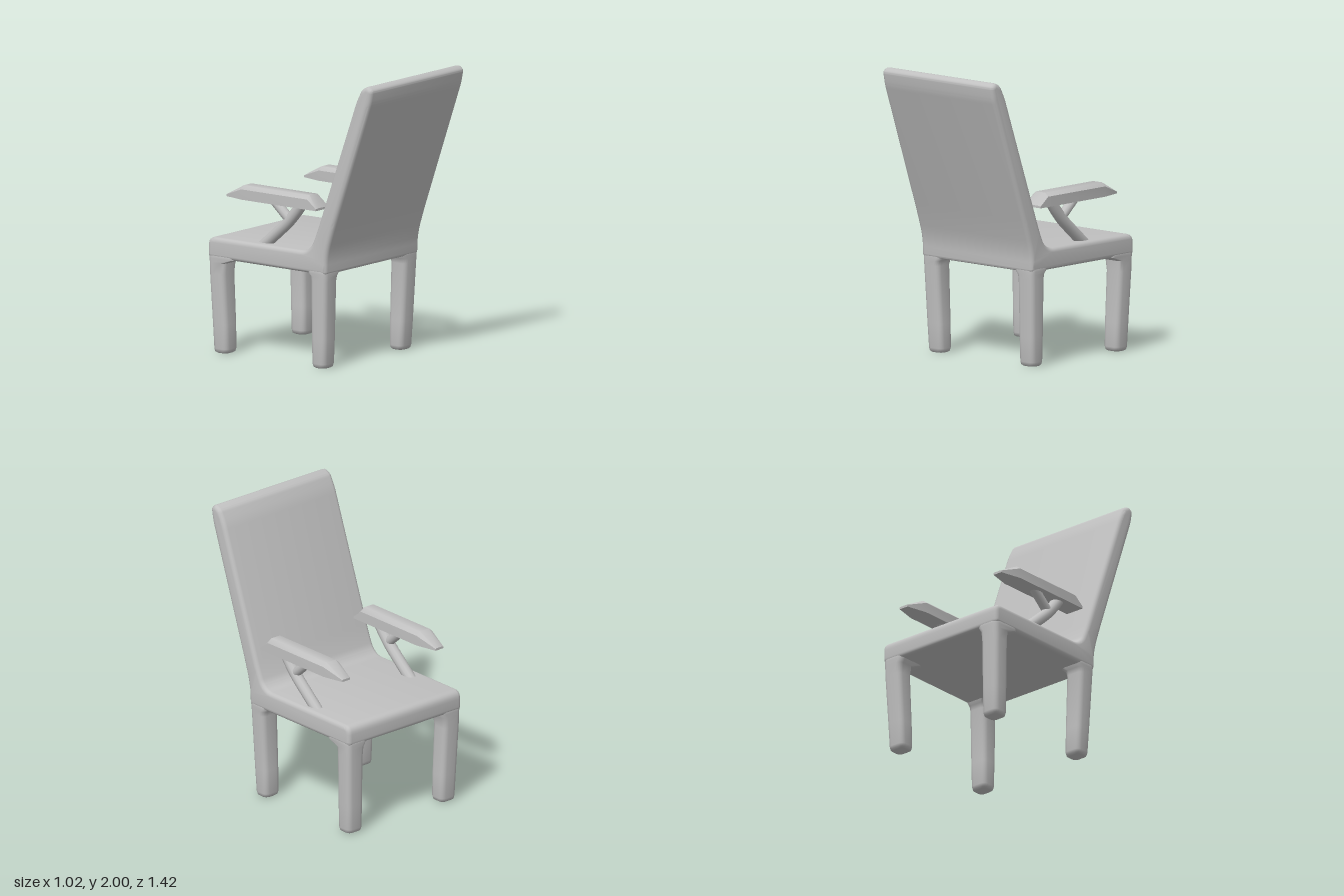
import * as THREE from 'three';
import { toCreasedNormals } from 'three/addons/utils/BufferGeometryUtils.js';

const V3 = (x, y, z) => new THREE.Vector3(x, y, z);

// Skin closed cross-sections (equal-length arrays of Vector3) and cap both ends
function loft(rings, crease) {
  const pos = [], index = [], n = rings[0].length;
  rings.forEach((r) => r.forEach((p) => pos.push(p.x, p.y, p.z)));
  for (let j = 0; j < rings.length - 1; j++) {
    for (let i = 0; i < n; i++) {
      const a = j * n + i, b = j * n + (i + 1) % n;
      index.push(a, a + n, b, b, a + n, b + n);
    }
  }
  const last = (rings.length - 1) * n;
  for (let i = 1; i < n - 1; i++) {
    index.push(0, i, i + 1, last, last + i + 1, last + i);
  }
  const g = new THREE.BufferGeometry();
  g.setAttribute('position', new THREE.Float32BufferAttribute(pos, 3));
  g.setIndex(index);
  return toCreasedNormals(g, crease);
}

// Horizontal rounded rectangle, running so that rising rings face outward
function roundedRing(x0, x1, z0, z1, y, r) {
  const ring = [];
  const corners = [[x1 - r, z1 - r], [x0 + r, z1 - r], [x0 + r, z0 + r], [x1 - r, z0 + r]];
  corners.forEach(([cx, cz], k) => {
    for (let i = 0; i <= 4; i++) {
      const a = (k + i / 4) * Math.PI / 2;
      ring.push(V3(cx + r * Math.cos(a), y, cz + r * Math.sin(a)));
    }
  });
  return ring;
}

// Closed outline with every corner softened: points are [z, y, radius]
function softShape(points) {
  const shape = new THREE.Shape();
  points.forEach(([x, y, r], i) => {
    const p = new THREE.Vector2(x, y);
    const toward = (q) => {
      const d = new THREE.Vector2(q[0], q[1]).sub(p);
      return p.clone().addScaledVector(d, Math.min(r / d.length(), 0.48));
    };
    const a = toward(points[(i + points.length - 1) % points.length]);
    const b = toward(points[(i + 1) % points.length]);
    if (i === 0) shape.moveTo(a.x, a.y); else shape.lineTo(a.x, a.y);
    shape.quadraticCurveTo(x, y, b.x, b.y);
  });
  shape.closePath();
  return shape;
}

export function createModel() {
  const model = new THREE.Group();
  model.name = 'armchair';
  const grey = new THREE.MeshStandardMaterial({ color: 0xc0c0c0 });
  grey.name = 'grey';
  const add = (parent, name, geometry) => {
    const mesh = new THREE.Mesh(geometry, grey);
    mesh.name = name;
    parent.add(mesh);
  };

  // Seat and reclined back as one continuous side profile
  const profile = softShape([
    [-0.707, 0.8, 0.06], [-0.707, 0.654, 0.03], [0.315, 0.654, 0.02], [0.32, 0.79, 0.1],
    [0.37, 0.95, 0.08], [0.698, 1.88, 0.03], [0.716, 1.975, 0.02], [0.675, 2.003, 0.02],
    [0.622, 1.977, 0.02], [0.575, 1.89, 0.04], [0.23, 0.94, 0.06], [0.188, 0.845, 0.03],
    [0.135, 0.802, 0.04],
  ]);
  const bevel = 0.03, width = 1.018;
  const shell = new THREE.ExtrudeGeometry(profile, {
    depth: width - 2 * bevel, curveSegments: 6,
    bevelEnabled: true, bevelThickness: bevel, bevelSize: bevel, bevelOffset: -bevel, bevelSegments: 4,
  });
  shell.translate(0, 0, -(width / 2 - bevel));
  shell.rotateY(-Math.PI / 2);
  add(model, 'seatAndBack', toCreasedNormals(shell, 0.7));

  // Tapered legs, flaring into the seat: rows are [y, xIn, xOut, zFront, zBack, radius]
  const rearLeg = [
    [0, 0.37, 0.47, 0.185, 0.27, 0.03], [0.008, 0.358, 0.481, 0.174, 0.281, 0.035],
    [0.03, 0.353, 0.485, 0.168, 0.286, 0.035], [0.2, 0.355, 0.491, 0.169, 0.295, 0.035],
    [0.6, 0.362, 0.505, 0.176, 0.312, 0.035], [0.635, 0.355, 0.506, 0.17, 0.314, 0.035],
    [0.656, 0.335, 0.507, 0.15, 0.314, 0.035], [0.685, 0.335, 0.507, 0.15, 0.314, 0.035],
    [0.72, 0.345, 0.49, 0.16, 0.295, 0.03],
  ];
  const frontLeg = [
    [0, 0.37, 0.47, -0.665, -0.575, 0.03], [0.008, 0.358, 0.481, -0.677, -0.563, 0.035],
    [0.03, 0.353, 0.485, -0.681, -0.558, 0.035], [0.2, 0.355, 0.491, -0.688, -0.56, 0.035],
    [0.55, 0.362, 0.505, -0.702, -0.57, 0.035], [0.625, 0.355, 0.506, -0.704, -0.565, 0.035],
    [0.656, 0.335, 0.507, -0.705, -0.48, 0.035], [0.685, 0.335, 0.507, -0.705, -0.48, 0.035],
    [0.72, 0.345, 0.49, -0.685, -0.5, 0.03],
  ];
  for (const [name, rows] of [['RearLeg', rearLeg], ['FrontLeg', frontLeg]]) {
    for (const s of [1, -1]) {
      const rings = rows.map(([y, xi, xo, z0, z1, r]) =>
        roundedRing(s > 0 ? xi : -xo, s > 0 ? xo : -xi, z0, z1, y, r));
      add(model, (s > 0 ? 'left' : 'right') + name, loft(rings, 0.9));
    }
  }

  // Arm pad sections, front to rear: [z, half width, shoulder y, half width of flat top, top y]
  const padRings = [
    [-0.585, 0.035, 1.097, 0.025, 1.1], [-0.43, 0.07, 1.155, 0.04, 1.18],
    [0.14, 0.07, 1.155, 0.04, 1.18], [0.215, 0.07, 1.097, 0.04, 1.1],
  ].map(([z, w, shoulder, t, top]) => [
    V3(-w, 1.084, z), V3(-w, shoulder, z), V3(-t, top, z),
    V3(t, top, z), V3(w, shoulder, z), V3(w, 1.084, z),
  ]);
  const padGeometry = loft(padRings, 0.75);

  // Forked bracket: a curved main strut and a short branch
  const strut = new THREE.CatmullRomCurve3([
    V3(0, 1.125, 0.055), V3(0, 1.04, -0.008), V3(0, 0.96, -0.08), V3(0, 0.885, -0.165), V3(0, 0.77, -0.3),
  ]);
  const branch = new THREE.LineCurve3(V3(0, 0.985, -0.07), V3(0, 1.125, -0.23));
  const strutGeometry = new THREE.TubeGeometry(strut, 20, 0.04, 12);
  const branchGeometry = new THREE.TubeGeometry(branch, 1, 0.034, 12);

  for (const [side, x] of [['left', 0.425], ['right', -0.415]]) {
    const arm = new THREE.Group();
    arm.name = side + 'Arm';
    arm.position.x = x;
    add(arm, 'armPad', padGeometry);
    add(arm, 'armStrut', strutGeometry);
    add(arm, 'armBranch', branchGeometry);
    model.add(arm);
  }
  return model;
}
